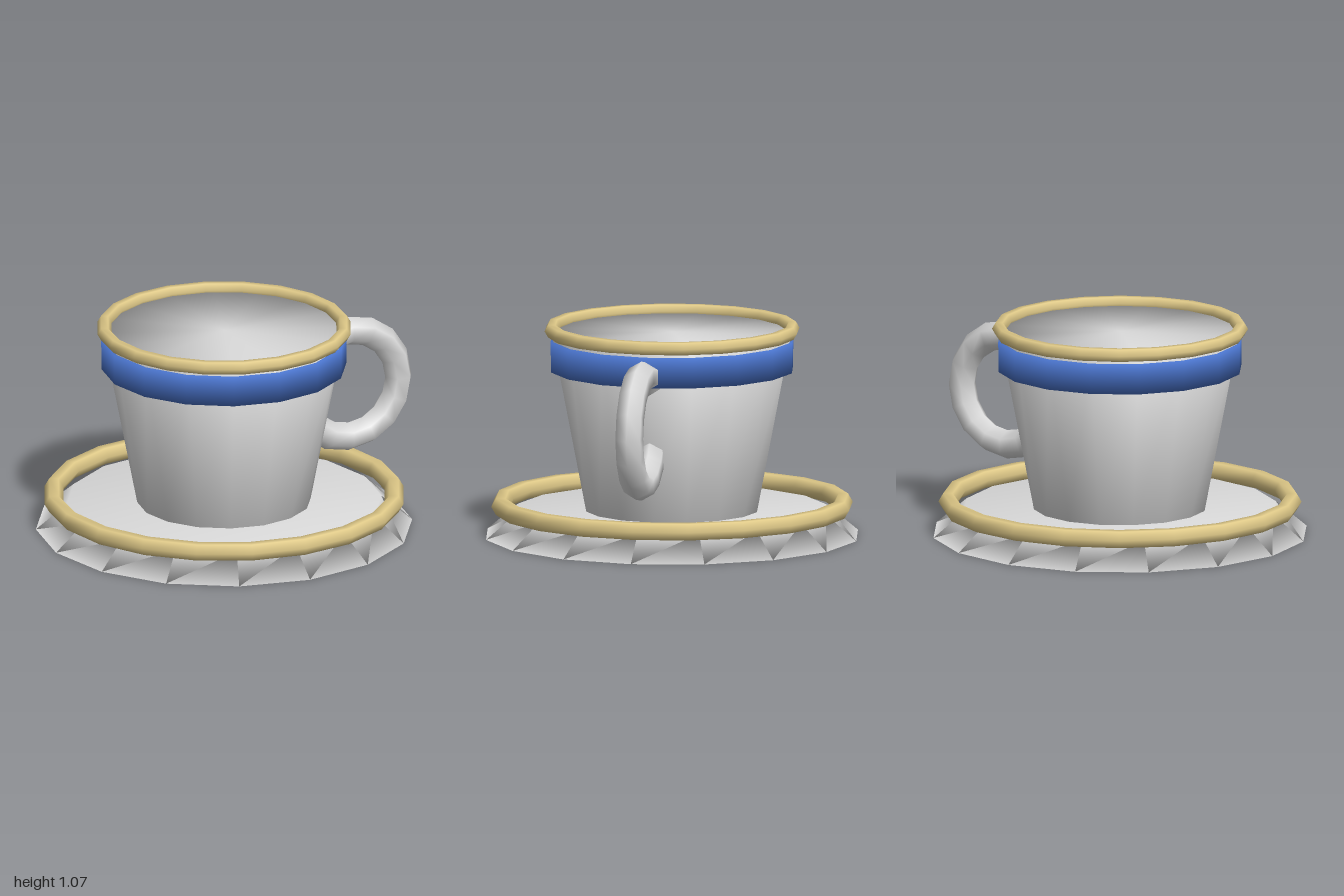
import * as THREE from 'three';
import { mergeVertices } from 'three/addons/utils/BufferGeometryUtils.js';

const white = new THREE.MeshStandardMaterial({ color: 0xdadada });
white.name = 'white china';
const blue = new THREE.MeshStandardMaterial({ color: 0x4a74cc });
blue.name = 'blue glaze';
const gold = new THREE.MeshStandardMaterial({ color: 0xdfc988 });
gold.name = 'pale gold';

// Closed 16-sided frustum, with normals smoothed across its rims
function frustum(name, rTop, rBottom, y0, y1, material) {
  let geo = new THREE.CylinderGeometry(rTop, rBottom, y1 - y0, 16);
  geo.deleteAttribute('uv');
  geo.deleteAttribute('normal');
  geo = mergeVertices(geo, 1e-4);
  geo.computeVertexNormals();
  const mesh = new THREE.Mesh(geo, material);
  mesh.name = name;
  mesh.position.y = (y0 + y1) / 2;
  return mesh;
}

// Ring with a six-sided tube
function ring(name, radius, tube, sides, material) {
  const mesh = new THREE.Mesh(new THREE.TorusGeometry(radius, tube, 6, sides), material);
  mesh.name = name;
  return mesh;
}

export function createModel() {
  const group = new THREE.Group();
  group.name = 'cupAndSaucer';

  // Saucer and its trim
  const saucer = frustum('saucer', 0.79, 0.945, 0, 0.13, white);
  const saucerRim = ring('saucerRim', 0.861, 0.048, 20, gold);
  saucerRim.rotation.x = Math.PI / 2;
  saucerRim.position.y = 0.155;

  // Cup body, painted band and lip
  const cup = frustum('cup', 0.61, 0.432, 0.11, 1.03, white);
  const band = frustum('band', 0.617, 0.615, 0.84, 0.993, blue);
  const lip = ring('cupLip', 0.605, 0.036, 20, gold);
  lip.rotation.x = Math.PI / 2;
  lip.position.y = 1.041;

  // Round handle, partly sunk into the cup
  const handle = ring('handle', 0.28, 0.073, 16, white);
  handle.position.set(0.7, 0.636, 0);

  group.add(saucer, saucerRim, cup, band, lip, handle);
  for (const part of group.children) part.position.x -= 0.055;
  return group;
}
